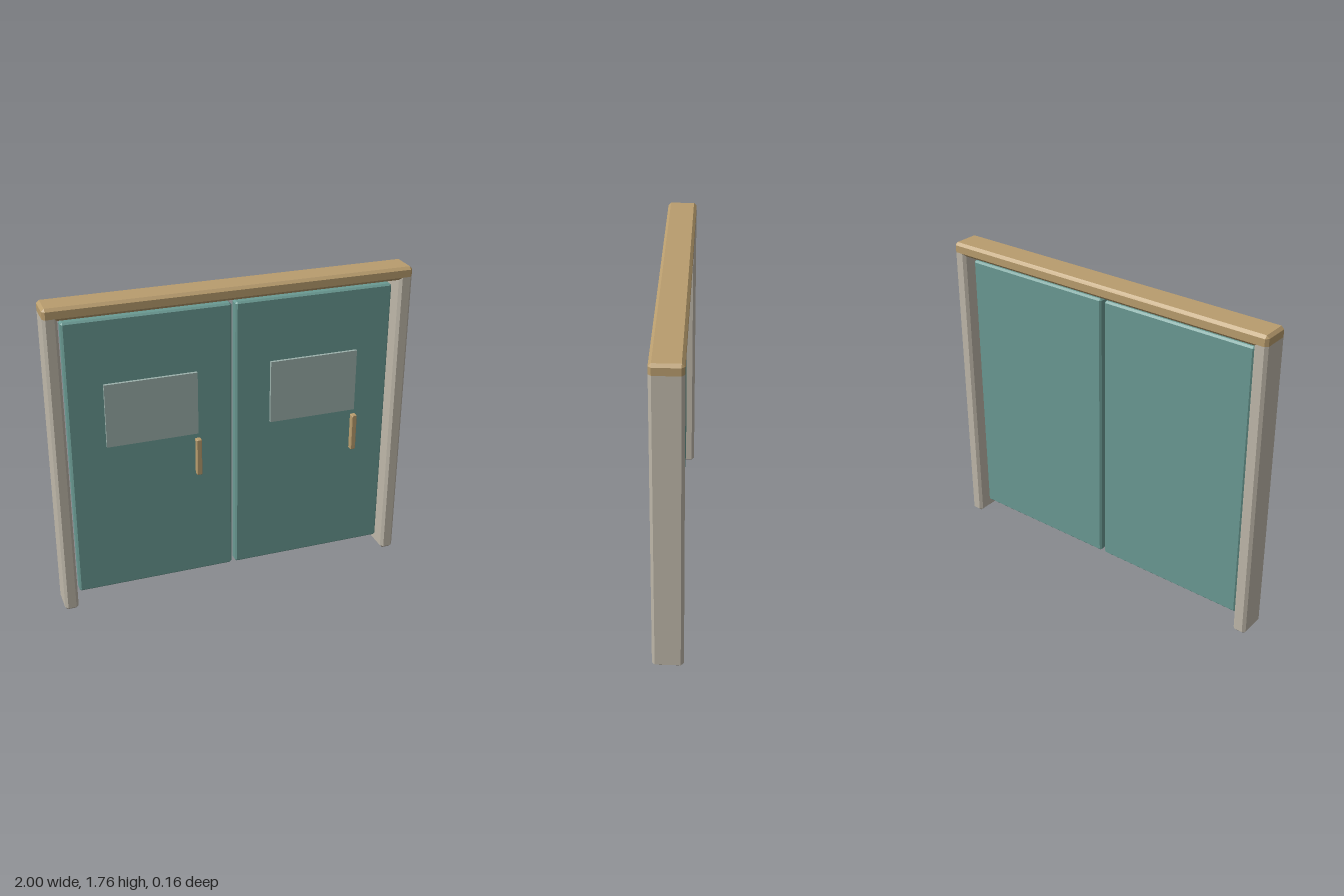
import * as THREE from 'three';
import { ConvexGeometry } from 'three/addons/geometries/ConvexGeometry.js';

const flat = (name, color) => {
  const m = new THREE.MeshStandardMaterial({ color });
  m.name = name;
  return m;
};

// Box with flat bevels along every edge
function bevelBox(w, h, d, b) {
  const points = [];
  for (const sx of [-1, 1]) for (const sy of [-1, 1]) for (const sz of [-1, 1]) {
    const x = w / 2, y = h / 2, z = d / 2;
    points.push(
      new THREE.Vector3(sx * x, sy * (y - b), sz * (z - b)),
      new THREE.Vector3(sx * (x - b), sy * y, sz * (z - b)),
      new THREE.Vector3(sx * (x - b), sy * (y - b), sz * z));
  }
  return new ConvexGeometry(points);
}

export function createModel() {
  const group = new THREE.Group();
  group.name = 'doubleDoor';
  const stone = flat('warm grey', 0xbfb8aa);
  const wood = flat('tan wood', 0xb99d6e);
  const teal = flat('teal paint', 0x6a9a93);
  const glass = flat('pale glass', 0x9bb0ab);

  const add = (parent, name, geometry, material, x, y, z) => {
    const mesh = new THREE.Mesh(geometry, material);
    mesh.name = name;
    mesh.position.set(x, y, z);
    parent.add(mesh);
    return mesh;
  };

  // Frame: two posts tucked into the lintel
  for (const s of [-1, 1]) {
    add(group, s > 0 ? 'leftPost' : 'rightPost',
      bevelBox(0.075, 1.725, 0.164, 0.015), stone, s * 0.9625, 0.8625, 0);
  }
  add(group, 'lintel', bevelBox(2, 0.07, 0.164, 0.015), wood, 0, 1.73, 0);

  // Door leaves, each with a raised window and a handle on the same side
  for (const s of [-1, 1]) {
    const door = new THREE.Group();
    door.name = s > 0 ? 'leftDoor' : 'rightDoor';
    door.position.x = s * 0.458;
    group.add(door);
    add(door, 'panel', bevelBox(0.894, 1.59, 0.064, 0.01), teal, 0, 0.87, 0);
    add(door, 'window', new THREE.BoxGeometry(0.503, 0.357, 0.02), glass, 0, 1.131, 0.038);
    add(door, 'handle', bevelBox(0.03, 0.215, 0.036, 0.004), wood, 0.252, 0.812, 0.044);
  }
  return group;
}
